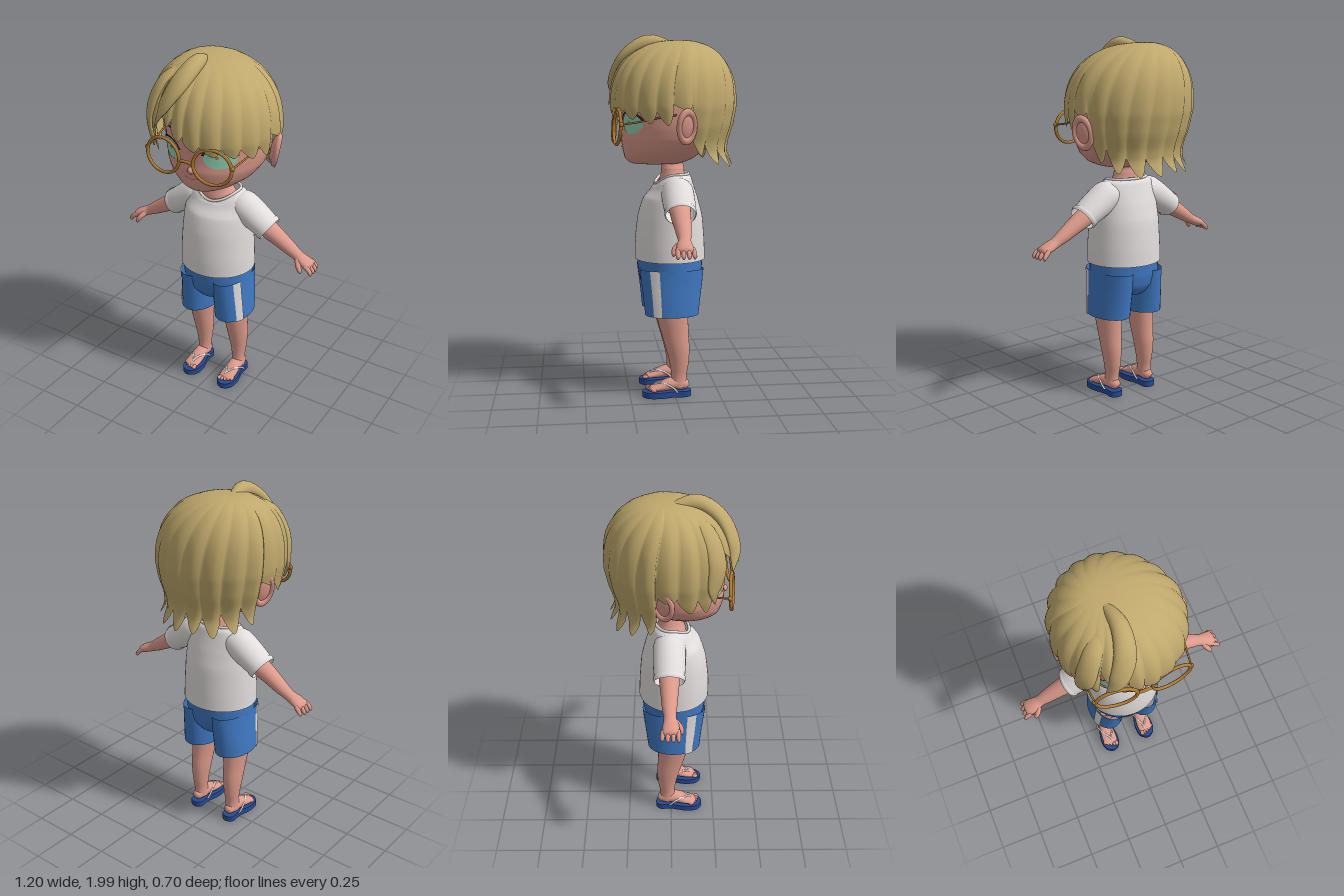
import * as THREE from 'three';

const V = (x, y, z) => new THREE.Vector3(x, y, z);
const mat = (name, color) => Object.assign(new THREE.MeshStandardMaterial({ color, side: THREE.DoubleSide }), { name });

// Grid of vertices (rows x cols) to an indexed smooth geometry
function gridGeometry(pos, rows, cols, closed) {
  const idx = [];
  const last = closed ? cols : cols - 1;
  for (let i = 0; i < rows - 1; i++) for (let j = 0; j < last; j++) {
    const a = i * cols + j, b = i * cols + (j + 1) % cols, c = a + cols, d = b + cols;
    idx.push(a, c, b, b, c, d);
  }
  const g = new THREE.BufferGeometry();
  g.setAttribute('position', new THREE.Float32BufferAttribute(pos, 3));
  g.setIndex(idx);
  g.computeVertexNormals();
  return g;
}

// Elliptical sections [x, y, z, radiusU, radiusV] smoothed along a path
function loft(rows, { ref = V(0, 0, 1), dir = null, n = 28, steps = 5, arc = null } = {}) {
  const path = new THREE.CatmullRomCurve3(rows.map(r => V(r[0], r[1], r[2])));
  const size = new THREE.CatmullRomCurve3(rows.map(r => V(r[3], r[4], 0)));
  const count = (rows.length - 1) * steps, cols = arc ? n + 1 : n, pos = [];
  const [a0, a1] = arc || [0, Math.PI * 2];
  for (let i = 0; i <= count; i++) {
    const c = path.getPoint(i / count), r = size.getPoint(i / count);
    const t = dir || path.getTangent(i / count);
    const u = t.clone().cross(ref).normalize(), v = u.clone().cross(t).normalize();
    for (let j = 0; j < cols; j++) {
      const a = a0 + (a1 - a0) * j / n;
      const p = c.clone().addScaledVector(u, Math.max(r.x, 0) * Math.cos(a)).addScaledVector(v, Math.max(r.y, 0) * Math.sin(a));
      pos.push(p.x, p.y, p.z);
    }
  }
  return gridGeometry(pos, count + 1, cols, !arc);
}

const tube = (pts, r, closed = false) =>
  new THREE.TubeGeometry(new THREE.CatmullRomCurve3(pts.map(p => V(...p)), closed), 40, r, 8, closed);

// Locks of hair round the head: [start angle, tip height, notch depth], 0 = front, + = left
const LOCKS = [
  [-180, 1.29, .09], [-161, 1.28, .09], [-142, 1.30, .1], [-122, 1.33, .1], [-104, 1.53, .04],
  [-84, 1.46, .07], [-66, 1.44, .09], [-50, 1.54, .09], [-37, 1.70, .06], [-25, 1.67, .05],
  [-13, 1.61, .04], [0, 1.57, .04], [16, 1.55, .04], [34, 1.54, .05], [52, 1.52, .06],
  [70, 1.51, .07], [85, 1.59, .03], [103, 1.35, .1], [120, 1.30, .1], [140, 1.28, .09], [160, 1.28, .09], [180]];

function hairGeometry() {
  const rows = 44, per = 12, cols = (LOCKS.length - 1) * per, pos = [];
  const low = [[1.6, 1], [1.5, .95], [1.42, .875], [1.36, .86], [1.27, .97]];
  const radius = y => {
    if (y >= 1.6) return Math.pow(Math.max(0, 1 - Math.pow((y - 1.6) / .365, 2.4)), 1 / 2.4);
    const k = Math.max(1, low.findIndex(p => p[0] <= y)), [ya, ra] = low[k - 1], [yb, rb] = low[k];
    return ra + (rb - ra) * (ya - y) / (ya - yb);
  };
  for (let i = 0; i < rows; i++) for (let j = 0; j < cols; j++) {
    const v = i / (rows - 1), k = Math.floor(j / per), f = (j % per) / per;
    const [start, tip, depth] = LOCKS[k];
    const t = 1 - Math.pow(Math.abs(2 * f - 1), 1.6);
    const hem = tip + depth * (1 - t);
    const y = 1.965 - (1.965 - hem) * (1 - Math.cos(v * Math.PI / 2));
    const ang = (start + (LOCKS[k + 1][0] - start) * f) * Math.PI / 180
      + .35 * (1 - v) ** 2 + .05 * t * v ** 4;
    const r = radius(y) * (.962 + .04 * t * Math.min(1, v * 2));
    const shift = (1 - v) ** 2;
    pos.push(-.012 - .085 * shift + .35 * r * Math.sin(ang), y, -.05 * shift + .348 * r * Math.cos(ang));
  }
  return gridGeometry(pos, rows, cols, true);
}

export function createModel() {
  const model = new THREE.Group();
  const skin = mat('skin', 0xdc9a8b), hair = mat('hair', 0xbfa86c), white = mat('shirt white', 0xe2dcdc);
  const blue = mat('shorts blue', 0x3f78c2), navy = mat('sandal navy', 0x264a94), gold = mat('frame gold', 0xb07c32);
  const green = mat('eye green', 0x93d0b5), dark = mat('lash dark', 0x35241c), lip = mat('lip', 0xb56f69);
  const add = (name, geo, m) => {
    const mesh = new THREE.Mesh(geo, m);
    mesh.name = name;
    model.add(mesh);
    return mesh;
  };
  const up = { dir: V(0, 1, 0) };

  // Head and neck
  const head = add('head', loft([
    [0, 1.286, .09, .005, .005], [0, 1.294, .09, .09, .13], [0, 1.32, .075, .155, .185], [0, 1.37, .05, .222, .225],
    [0, 1.43, .02, .262, .263], [0, 1.5, .003, .28, .276], [0, 1.6, 0, .285, .285], [0, 1.7, 0, .28, .28],
    [0, 1.82, 0, .22, .22], [0, 1.88, 0, .01, .01]], { ...up, n: 48, steps: 6 }), skin);
  add('neck', loft([[0, 1.12, 0, .125, .09], [0, 1.19, 0, .105, .08], [0, 1.235, 0, .078, .066],
    [0, 1.27, 0, .066, .063], [0, 1.34, 0, .066, .063]], up), skin);
  const nose = add('nose', new THREE.SphereGeometry(.02, 16, 12), skin);
  nose.position.set(0, 1.435, .28);

  // Painted face details laid on the head surface
  const ray = new THREE.Raycaster();
  const decal = (name, geo, m, x, y, lift) => {
    geo.translate(x, y, 0);
    const p = geo.attributes.position;
    for (let i = 0; i < p.count; i++) {
      ray.set(V(p.getX(i), p.getY(i), 1), V(0, 0, -1));
      const hit = ray.intersectObject(head)[0];
      p.setZ(i, (hit ? hit.point.z : .2) + lift);
    }
    geo.computeVertexNormals();
    add(name, geo, m);
  };
  for (const s of [1, -1]) {
    decal('eye', new THREE.RingGeometry(.001, 1, 28, 5).scale(.074, .057, 1), green, s * .145, 1.518, .004);
    decal('pupil', new THREE.RingGeometry(.001, .009, 12, 1), gold, s * .138, 1.525, .007);
    decal('eyelash', new THREE.RingGeometry(.94, 1.12, 24, 1, .25, Math.PI - .5).scale(.076, .058, 1), dark, s * .145, 1.518, .007);
    decal('eyebrow', new THREE.PlaneGeometry(.07, .01, 6, 1).rotateZ(-s * .12), dark, s * .13, 1.635, .005);
  }
  decal('mouth', new THREE.RingGeometry(.05, .056, 16, 1, Math.PI * 1.28, Math.PI * .44), lip, 0, 1.438, .004);

  // Hair cap and the raised front lock
  add('hair', hairGeometry(), hair);
  add('frontLock', loft([[-.09, 1.93, -.02, .02, .02], [-.06, 1.95, .13, .045, .042], [-.08, 1.88, .25, .055, .035],
    [-.14, 1.76, .315, .045, .02], [-.2, 1.64, .31, .003, .003]], { ref: V(0, 1, .35) }), hair);
  add('sideLock', loft([[-.1, 1.93, .02, .02, .02], [-.21, 1.86, .17, .05, .03], [-.27, 1.72, .225, .055, .025],
    [-.29, 1.58, .215, .04, .015], [-.27, 1.49, .22, .003, .003]], { ref: V(-.6, .6, .5) }), hair);

  // Shirt body with a dipped neckline
  const shirt = loft([[0, .765, .016, .212, .196], [0, .85, .017, .21, .194], [0, 1, .015, .203, .18],
    [0, 1.1, .012, .195, .152], [0, 1.17, 0, .183, .117], [0, 1.215, -.005, .16, .098], [0, 1.237, -.005, .125, .082]],
  { ...up, n: 48 });
  const sp = shirt.attributes.position;
  for (let i = 0; i < sp.count; i++) {
    const k = Math.max(0, (sp.getY(i) - 1.1) / .137), s = Math.min(1, Math.max(0, sp.getZ(i) / .08));
    sp.setY(i, sp.getY(i) - .055 * k * s * s);
    sp.setZ(i, sp.getZ(i) + .022 * k * s);
  }
  shirt.computeVertexNormals();
  add('shirt', shirt, white);
  add('collar', tube(Array.from({ length: 24 }, (_, i) => {
    const a = i / 12 * Math.PI, s = Math.max(0, Math.sin(a));
    return [.125 * Math.cos(a), 1.237 - .055 * s * s, -.005 + .082 * Math.sin(a) + .022 * s];
  }), .008, true), white);

  // Shorts seat
  add('shortsSeat', loft([[0, .565, .015, .01, .06], [0, .585, .015, .09, .125], [0, .64, .016, .185, .165],
    [0, .7, .016, .2, .178], [0, .785, .016, .2, .183]], { ...up, n: 40 }), blue);

  // Glasses bridge
  add('glassesBridge', tube([[-.042, 1.495, .322], [0, 1.503, .327], [.042, 1.495, .322]], .009), gold);

  for (const s of [1, -1]) {
    const X = rows => rows.map(([x, ...r]) => [s * x, ...r]);

    // Ear with a raised rim
    const ear = new THREE.Group();
    ear.name = 'ear';
    const lobe = new THREE.Mesh(new THREE.SphereGeometry(1, 24, 16).scale(.022, .08, .05), skin);
    const rim = new THREE.Mesh(new THREE.TorusGeometry(.048, .013, 10, 28).rotateY(Math.PI / 2).scale(1.2, 1.6, 1), skin);
    rim.position.x = s * .01;
    ear.add(lobe, rim);
    ear.position.set(s * .312, 1.507, -.035);
    ear.rotation.set(.1, s * .45, -s * .22);
    model.add(ear);

    // Glasses rim, hinge and temple
    const ring = add('glassesRim', new THREE.TorusGeometry(.1, .009, 10, 48).scale(1.07, .93, 1), gold);
    ring.position.set(s * .148, 1.5, .312);
    ring.rotation.set(-.06, s * .12, 0);
    const hinge = add('glassesHinge', new THREE.SphereGeometry(.013, 12, 8), gold);
    hinge.position.set(s * .258, 1.515, .296);
    add('glassesTemple', tube(X([[.258, 1.515, .296], [.268, 1.53, .2], [.285, 1.555, .08], [.295, 1.565, .01]]), .005), gold);

    // Sleeve with a hem, arm and hand
    add('sleeve', loft(X([[.09, 1.165, -.01, .06, .075], [.15, 1.143, -.01, .085, .088], [.23, 1.095, -.01, .078, .087],
      [.307, 1.045, -.01, .068, .08]])), white);
    add('sleeveHem', loft(X([[.288, 1.058, -.01, .074, .085], [.298, 1.051, -.01, .075, .086], [.312, 1.042, -.01, .069, .081]])), white);
    add('arm', loft(X([[.2, 1.11, -.01, .055, .06], [.3, 1.045, -.01, .052, .055], [.37, 1.005, -.01, .044, .047],
      [.44, .962, -.01, .036, .039], [.485, .936, -.008, .029, .033], [.525, .917, -.004, .027, .043],
      [.56, .9, -.004, .023, .045], [.575, .888, -.004, .008, .03]])), skin);
    for (let k = 0; k < 4; k++) {
      const z = -.042 + k * .025, d = k === 0 ? -.008 : 0;
      add('finger', loft(X([[.55, .905, z, .014, .013], [.575 + d, .89, z * 1.1, .013, .0125], [.589 + d, .872, z * 1.15, .011, .011],
        [.59 + d, .86, z * 1.15, .003, .003]]), { n: 12 }), skin);
    }
    add('thumb', loft(X([[.5, .925, .02, .016, .016], [.518, .903, .045, .015, .015], [.532, .88, .053, .012, .012],
      [.535, .866, .054, .003, .003]]), { n: 12 }), skin);

    // Shorts leg with a turned hem and a side stripe
    const leg = g => X([[.112, .465, .016, .102 + g, .148 + g], [.108, .56, .015, .1 + g, .158 + g],
      [.104, .64, .015, .098 + g, .168 + g], [.1, .72, .016, .099 + g, .177 + g]]);
    add('shortsLeg', loft(leg(0), up), blue);
    add('shortsInner', loft(X([[.112, .466, .016, .102, .148], [.112, .475, .016, .092, .138], [.112, .53, .015, .085, .135]]), up), blue);
    const mid = s > 0 ? .6 : Math.PI - .6;
    add('sideStripe', loft(leg(.005), { ...up, n: 6, arc: [mid - .17, mid + .17] }), white);

    // Leg and foot
    add('leg', loft(X([[.11, .56, .015, .078, .095], [.115, .45, .012, .069, .087], [.117, .36, 0, .06, .076],
      [.118, .27, -.016, .054, .066], [.118, .18, -.024, .044, .052], [.118, .11, -.022, .037, .043],
      [.12, .055, -.02, .038, .048]]), up), skin);
    add('foot', loft(X([[.12, .058, -.08, .004, .004], [.12, .062, -.068, .025, .025], [.12, .07, -.03, .037, .036],
      [.12, .07, .02, .039, .036], [.121, .055, .085, .045, .024], [.121, .047, .13, .043, .014], [.121, .045, .145, .02, .008]]),
    { ref: V(0, 1, 0) }), skin);
    for (let k = 0; k < 5; k++) {
      const toe = add('toe', new THREE.SphereGeometry(1, 12, 8).scale(k ? .009 : .013, .011, .018), skin);
      toe.position.set(s * (.09 + k * .0175), .045, .148 - k * k * .0018);
    }

    // Sandal sole and thong straps
    const half = [[.036, -.07], [.037, 0], [.055, .09], [.044, .155]];
    const outline = [[0, -.09], ...half, [0, .182], ...half.map(([x, z]) => [-x, z]).reverse()];
    const curve = new THREE.CatmullRomCurve3(outline.map(([x, z]) => V(x, z, 0)), true);
    const sole = add('sandalSole', new THREE.ExtrudeGeometry(
      new THREE.Shape(curve.getPoints(48).slice(0, -1).map(p => new THREE.Vector2(p.x, p.y))),
      { depth: .033, bevelEnabled: false }).rotateX(Math.PI / 2), navy);
    sole.position.set(s * .12, .033, 0);
    for (const e of [1, -1]) add('sandalStrap', tube([[s * .112, .035, .135], [s * .113, .066, .115],
      [s * .12 + e * .03, .078, .06], [s * .12 + e * .047, .055, .01], [s * .12 + e * .042, .03, -.01]], .006), white);
  }
  return model;
}
